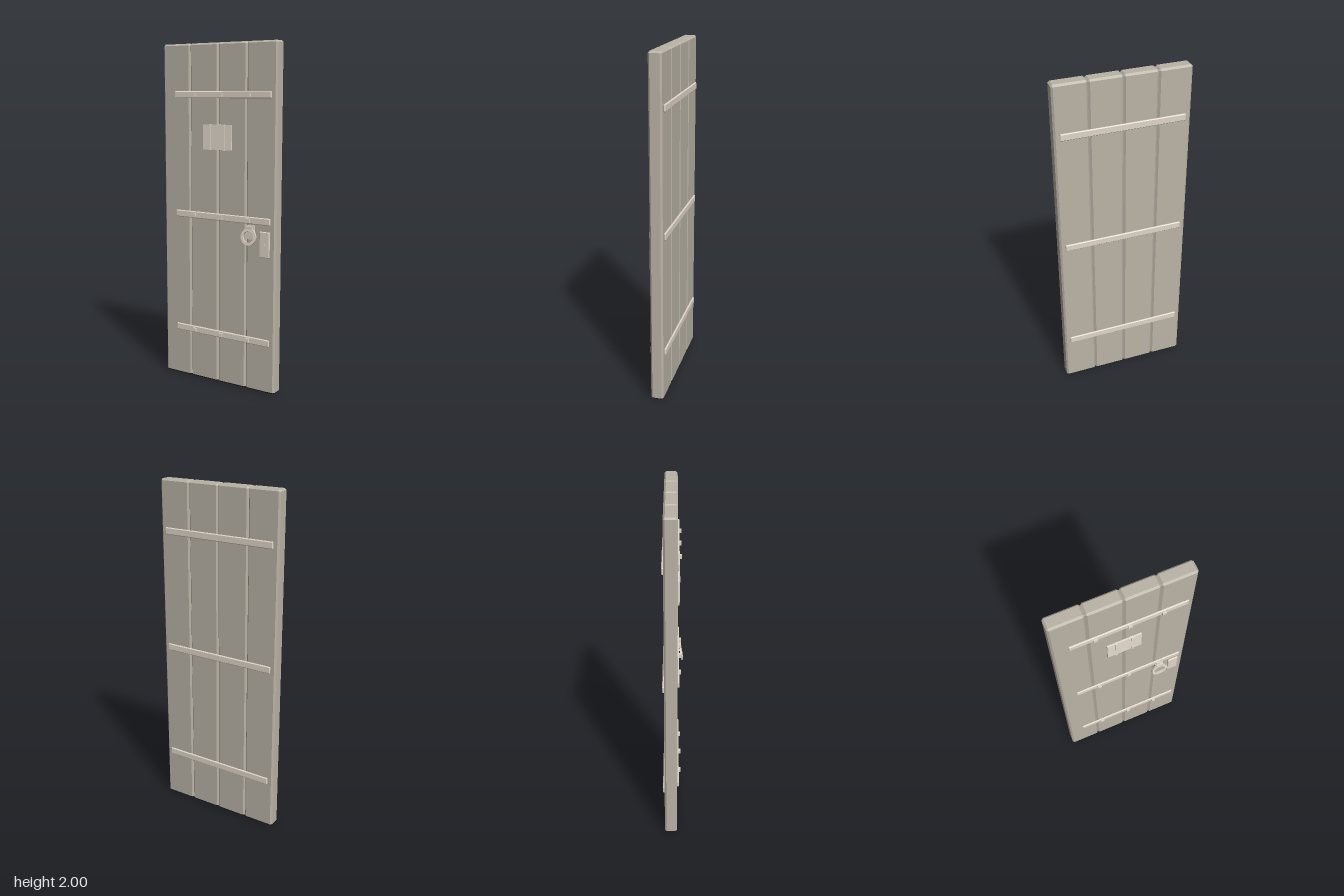
import * as THREE from 'three';
import { ConvexGeometry } from 'three/addons/geometries/ConvexGeometry.js';

const mat = (name, color) => {
  const m = new THREE.MeshStandardMaterial({ color });
  m.name = name;
  return m;
};

// Box given by its limits, with all edges cut at 45 degrees by c
function chamferBox(x0, x1, y0, y1, z0, z1, c) {
  const h = [(x1 - x0) / 2, (y1 - y0) / 2, (z1 - z0) / 2];
  const pts = [];
  for (const sx of [-1, 1]) for (const sy of [-1, 1]) for (const sz of [-1, 1])
    for (let k = 0; k < 3; k++) {
      const p = h.map((v, i) => (i === k ? v : v - c));
      pts.push(new THREE.Vector3(sx * p[0], sy * p[1], sz * p[2]));
    }
  return new ConvexGeometry(pts).translate((x0 + x1) / 2, (y0 + y1) / 2, (z0 + z1) / 2);
}

function plainBox(x0, x1, y0, y1, z0, z1) {
  return new THREE.BoxGeometry(x1 - x0, y1 - y0, z1 - z0)
    .translate((x0 + x1) / 2, (y0 + y1) / 2, (z0 + z1) / 2);
}

// Gives the downward faces the second material
function splitUnderside(geometry) {
  const normal = geometry.attributes.normal;
  for (let i = 0; i < normal.count; i += 3)
    geometry.addGroup(i, 3, normal.getY(i) < -0.5 ? 1 : 0);
  return geometry;
}

export function createModel() {
  const door = new THREE.Group();
  door.name = 'plankDoor';
  const wood = mat('weatheredWood', 0xbab3a6);
  const endGrain = mat('darkEndGrain', 0x2c2927);
  const iron = mat('paleIron', 0xe0d6c9);
  const hatch = mat('hatchPlate', 0xe6ddd0);
  const add = (name, geometry, material) => {
    const m = new THREE.Mesh(geometry, material);
    m.name = name;
    door.add(m);
    return m;
  };

  // Four upright planks, touching side by side, dark underneath
  const edges = [-0.383, -0.193, 0, 0.191, 0.383];
  for (let i = 0; i < 4; i++) {
    const plank = chamferBox(edges[i], edges[i + 1], 0, 2, -0.05, 0.024, 0.01);
    add('plank' + (i + 1), splitUnderside(plank), [wood, endGrain]);
  }

  // Iron straps on both faces, with square rivets in front
  for (const y of [0.303, 1.008, 1.71]) {
    add('frontStrap', chamferBox(-0.297, 0.351, y - 0.02, y + 0.02, 0.022, 0.034, 0.004), iron);
    add('backStrap', chamferBox(-0.351, 0.351, y - 0.02, y + 0.02, -0.06, -0.048, 0.004), iron);
    for (const x of [-0.158, 0.027, 0.212])
      add('rivet', plainBox(x - 0.011, x + 0.011, y - 0.01, y + 0.01, 0.03, 0.045), iron);
  }

  // Peep hatch between two upright rails
  add('peepHatch', plainBox(-0.097, 0.097, 1.398, 1.541, 0.023, 0.034), hatch);
  for (const x of [-0.047, 0.045])
    add('hatchRail', plainBox(x - 0.007, x + 0.007, 1.395, 1.544, 0.023, 0.038), hatch);

  // Pull ring hanging from its mount, tipped outward at the bottom
  add('ringMount', plainBox(0.196, 0.25, 0.9, 0.98, 0.023, 0.034), iron);
  add('ringHook', plainBox(0.202, 0.244, 0.957, 0.975, 0.03, 0.046), iron);
  const outline = new THREE.Shape().absarc(0, 0, 0.049, 0, Math.PI * 2);
  outline.holes.push(new THREE.Path().absarc(0, 0, 0.033, 0, Math.PI * 2, true));
  const ring = add('pullRing', new THREE.ExtrudeGeometry(outline,
    { depth: 0.009, bevelEnabled: false, curveSegments: 16 }).translate(0, 0, -0.0045), iron);
  ring.position.set(0.222, 0.916, 0.048);
  ring.rotation.x = -0.15;

  // Lock plate with a small keyhole cover
  add('lockPlate', chamferBox(0.285, 0.348, 0.803, 0.95, 0.022, 0.034, 0.003), iron);
  add('keyholeCover', plainBox(0.314, 0.324, 0.87, 0.88, 0.03, 0.037), iron);

  return door;
}
